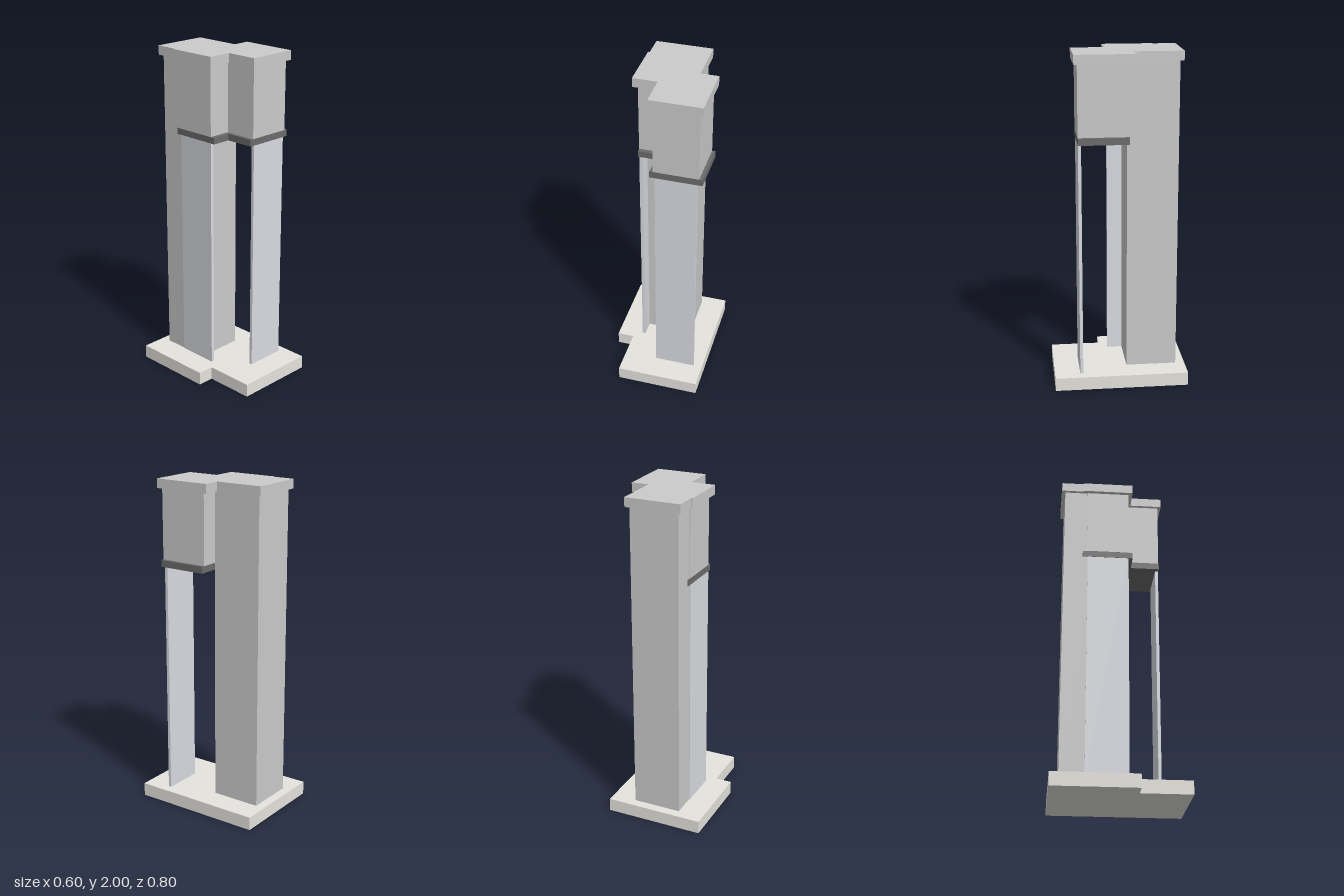
import * as THREE from 'three';

const mat = (color) => new THREE.MeshStandardMaterial({ color });

export function createModel() {
  const group = new THREE.Group();
  const grey = mat(0xcccccc);
  const stone = mat(0xe6e4de);
  const dark = mat(0x6c6c6c);
  const panel = mat(0xdadce2);

  const add = (name, geometry, material) => {
    const mesh = new THREE.Mesh(geometry, material);
    mesh.name = name;
    group.add(mesh);
    return mesh;
  };

  // Box given by its limits on each axis
  const box = (name, [x0, x1], [y0, y1], [z0, z1], material) =>
    add(name, new THREE.BoxGeometry(x1 - x0, y1 - y0, z1 - z0), material)
      .position.set((x0 + x1) / 2, (y0 + y1) / 2, (z0 + z1) / 2);

  // Flat slab from an outline of [x, z] points
  const slab = (name, outline, y0, y1, material) => {
    const shape = new THREE.Shape(outline.map(([x, z]) => new THREE.Vector2(x, -z)));
    const geometry = new THREE.ExtrudeGeometry(shape, { depth: y1 - y0, bevelEnabled: false });
    geometry.rotateX(-Math.PI / 2).translate(0, y0, 0);
    add(name, geometry, material);
  };

  // Ground plinth with a notched front corner
  slab('plinth', [
    [-0.3, -0.4], [0.3, -0.4], [0.3, 0.4], [-0.2, 0.4], [-0.2, 0.1], [-0.3, 0.1],
  ], 0, 0.08, stone);

  // Full-height tower and the two upper blocks attached to it
  box('tower', [-0.145, 0.15], [0.08, 1.95], [-0.345, -0.042], grey);
  box('frontUpperBlock', [-0.01, 0.255], [1.53, 1.95], [-0.045, 0.25], grey);
  box('sideUpperBlock', [-0.15, 0.1], [1.53, 1.95], [-0.205, 0.05], grey);

  // Dark bands below the upper blocks
  box('frontBand', [-0.03, 0.275], [1.49, 1.53], [-0.045, 0.25], dark);
  box('sideBand', [-0.15, 0.1], [1.491, 1.529], [-0.23, 0.075], dark);

  // Thin panels carrying the upper blocks
  box('frontPanel', [0, 0.245], [0.08, 1.49], [0.23, 0.248], panel);
  box('sidePanel', [-0.15, -0.13], [0.08, 1.49], [-0.2, 0.05], panel);

  // Stepped roof slab
  slab('roof', [
    [-0.165, -0.365], [0.17, -0.365], [0.17, -0.075], [0.275, -0.075], [0.275, 0.27],
    [-0.03, 0.27], [-0.03, 0.075], [-0.175, 0.075], [-0.175, -0.23], [-0.165, -0.23],
  ], 1.945, 2, grey);

  return group;
}
